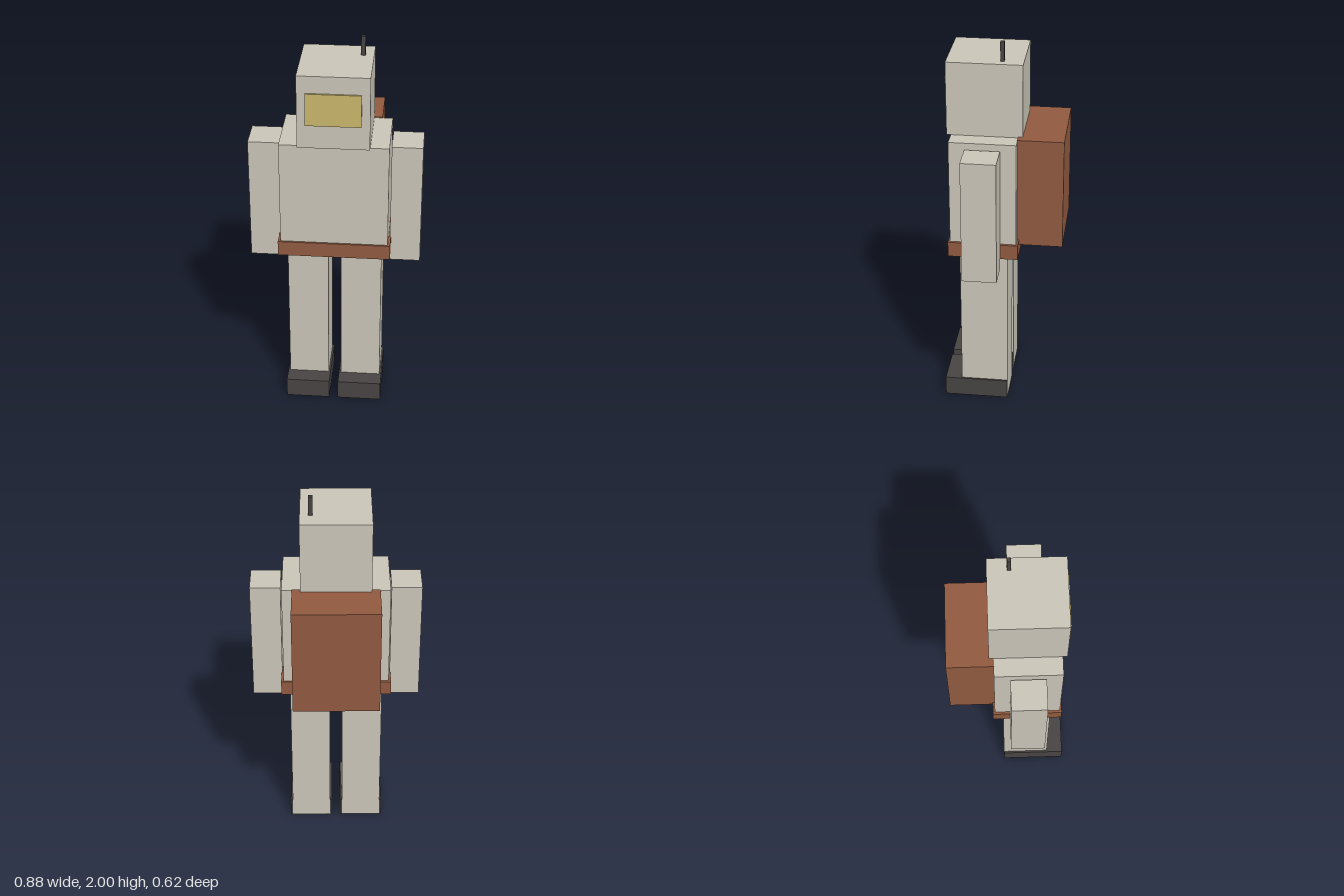
import * as THREE from 'three';

const paint = (name, color) => {
  const m = new THREE.MeshStandardMaterial({ color });
  m.name = name;
  return m;
};

export function createModel() {
  const model = new THREE.Group();
  model.name = 'blockRobot';

  const shell = paint('pale grey shell', 0xcac5b8);
  const leather = paint('rust brown', 0x905a40);
  const rubber = paint('charcoal', 0x474443);
  const glass = paint('amber visor', 0xc9b66b);

  // Box given by its extents along x, y and z
  function block(name, material, [x0, x1], [y0, y1], [z0, z1]) {
    const mesh = new THREE.Mesh(new THREE.BoxGeometry(x1 - x0, y1 - y0, z1 - z0), material);
    mesh.position.set((x0 + x1) / 2, (y0 + y1) / 2, (z0 + z1) / 2);
    mesh.name = name;
    model.add(mesh);
  }

  // Body: the torso base sits just below the belt
  block('torso', shell, [-0.275, 0.275], [0.878, 1.515], [-0.075, 0.265]);
  block('belt', leather, [-0.288, 0.288], [0.88, 0.96], [-0.085, 0.275]);
  block('backpack', leather, [-0.223, 0.223], [0.935, 1.52], [-0.308, -0.073]);

  // Head
  block('head', shell, [-0.18, 0.18], [1.515, 1.9], [-0.097, 0.287]);
  block('visor', glass, [-0.138, 0.138], [1.64, 1.81], [0.287, 0.296]);
  block('antenna', rubber, [0.115, 0.137], [1.9, 2], [0, 0.02]);

  // Limbs, mirrored
  for (const side of [1, -1]) {
    const label = side > 0 ? 'left' : 'right';
    const span = (a, b) => (side > 0 ? [a, b] : [-b, -a]);
    block(label + 'Arm', shell, span(0.283, 0.44), [0.825, 1.482], [0.005, 0.183]);
    block(label + 'Leg', shell, span(0.033, 0.243), [0.002, 0.88], [-0.029, 0.22]);
    block(label + 'Boot', rubber, span(0.023, 0.253), [0, 0.105], [-0.027, 0.308]);
  }

  return model;
}
